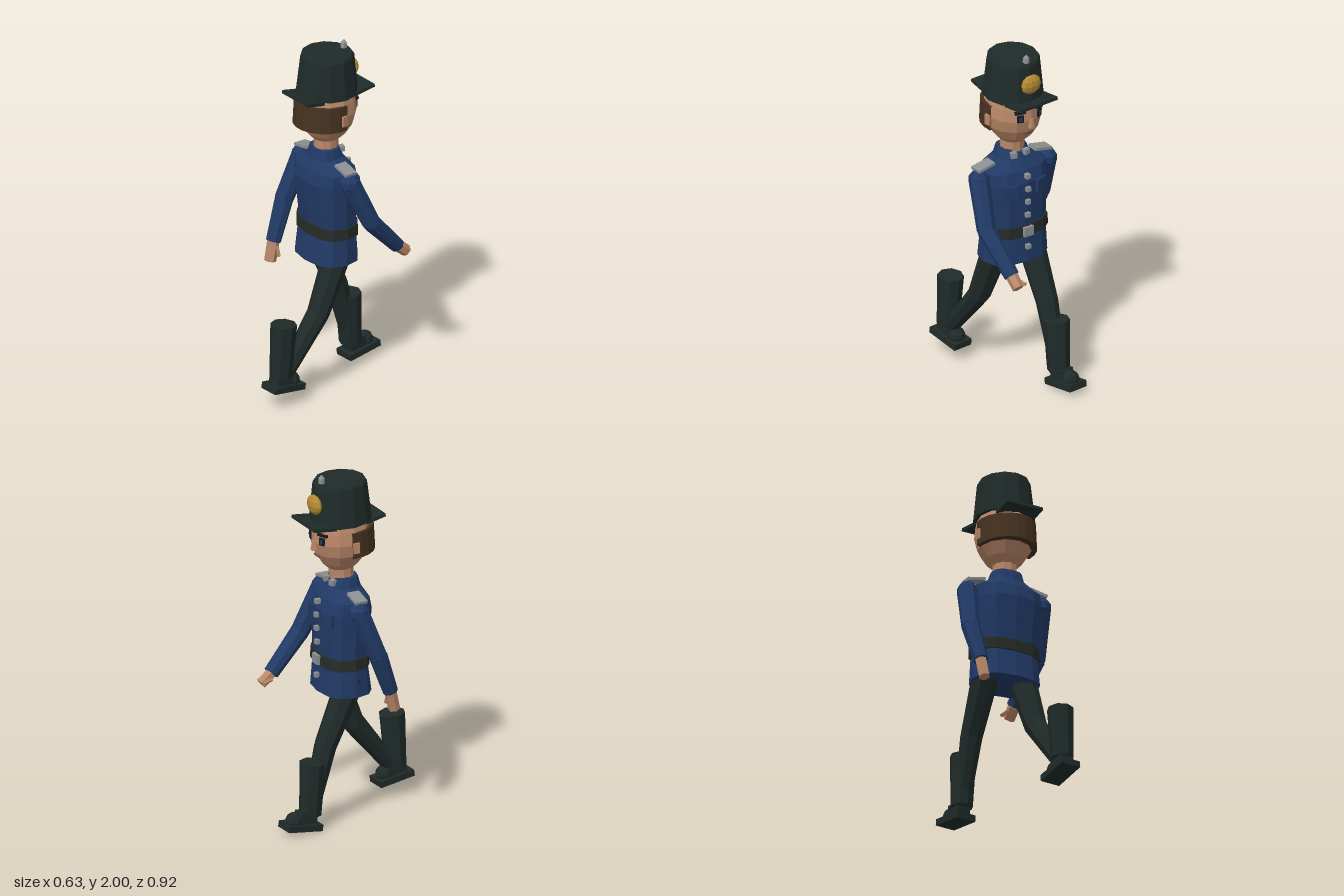
import * as THREE from 'three';

const paint = (name, color, side = THREE.FrontSide) =>
  new THREE.MeshStandardMaterial({ name, color, flatShading: true, side });

export function createModel() {
  const dark = paint('dark cloth', 0x1f2b29);
  const beltMat = paint('belt leather', 0x262c28);
  const navy = paint('navy cloth', 0x213a66);
  const skin = paint('skin', 0xb98768);
  const hairMat = paint('hair brown', 0x463220, THREE.DoubleSide);
  const silver = paint('silver', 0x8c9094);
  const gold = paint('gold', 0xb28a34);
  const black = paint('black', 0x17191c);
  const lip = paint('lip', 0x7a4a3c);

  const model = new THREE.Group();
  model.name = 'walkingOfficer';

  const add = (parent, name, geo, mat, pos = [0, 0, 0], rot = [0, 0, 0]) => {
    const m = new THREE.Mesh(geo, mat);
    m.name = name;
    m.position.set(...pos);
    m.rotation.set(...rot);
    parent.add(m);
    return m;
  };
  const group = (name, parent = model) => {
    const g = new THREE.Group();
    g.name = name;
    parent.add(g);
    return g;
  };
  const box = (w, h, d) => new THREE.BoxGeometry(w, h, d);
  // Tapered rod from point a to point b
  const limb = (parent, name, a, b, ra, rb, mat, sides = 8) => {
    const A = new THREE.Vector3(...a), B = new THREE.Vector3(...b);
    const dir = B.clone().sub(A);
    const m = add(parent, name, new THREE.CylinderGeometry(rb, ra, dir.length(), sides), mat);
    m.position.copy(A).add(B).multiplyScalar(0.5);
    m.quaternion.setFromUnitVectors(new THREE.Vector3(0, 1, 0), dir.normalize());
    return m;
  };
  // Closed loft of rounded sections [y, half width, half depth, centre z], top first
  const loft = (sections, sides, power) => {
    const rows = sections.length - 1;
    const geo = new THREE.CylinderGeometry(1, 1, 1, sides, rows);
    const p = geo.attributes.position;
    const soft = v => Math.sign(v) * Math.pow(Math.abs(v), power);
    for (let i = 0; i < p.count; i++) {
      const [y, hx, hz, cz] = sections[Math.round((0.5 - p.getY(i)) * rows)];
      p.setXYZ(i, soft(p.getX(i)) * hx, y, cz + soft(p.getZ(i)) * hz);
    }
    return geo;
  };

  // Jacket, turned slightly at the shoulders
  const torso = group('torso');
  torso.position.z = -0.03;
  torso.rotation.y = -0.08;
  add(torso, 'jacket', loft([
    [1.4, 0.085, 0.07, 0.01], [1.345, 0.1, 0.09, 0.005], [1.29, 0.2, 0.125, 0],
    [1.22, 0.2, 0.143, -0.002], [0.95, 0.185, 0.125, -0.012],
    [0.9, 0.187, 0.128, -0.01], [0.745, 0.195, 0.145, -0.005],
  ], 12, 0.8), navy);
  add(torso, 'belt', loft([
    [0.965, 0.196, 0.136, -0.011], [0.9, 0.198, 0.138, -0.011],
  ], 12, 0.8), beltMat);
  add(torso, 'buckle', box(0.06, 0.055, 0.02), silver, [0, 0.932, -0.153]);
  for (const [y, z] of [[1.265, -0.145], [1.188, -0.148], [1.11, -0.147], [1.03, -0.145], [0.838, -0.148]])
    add(torso, 'button', box(0.026, 0.026, 0.03), silver, [0, y, z]);
  for (const s of [-1, 1]) {
    add(torso, 'collarTab', box(0.035, 0.03, 0.04), silver, [s * 0.04, 1.375, -0.07], [0, s * -0.25, 0]);
    add(torso, 'pocket', box(0.075, 0.075, 0.025), navy, [s * 0.1, 1.185, -0.13], [0, s * -0.3, 0]);
    add(torso, 'epaulette', box(0.11, 0.016, 0.072), silver, [s * 0.19, 1.325, 0], [0, 0, s * -0.2]);
  }

  // Neck and head, looking towards -z
  limb(model, 'neck', [0, 1.36, -0.03], [0, 1.48, -0.035], 0.068, 0.068, skin, 10);
  const head = group('head');
  head.position.set(0, 1.42, -0.015);
  head.rotation.set(-0.036, -0.03, 0);
  add(head, 'skull', loft([
    [0.33, 0.14, 0.145, -0.012], [0.265, 0.155, 0.163, -0.012], [0.2, 0.163, 0.17, -0.012],
    [0.13, 0.148, 0.152, -0.014], [0.065, 0.105, 0.112, -0.017], [0.03, 0.07, 0.075, -0.018],
  ], 12, 1), skin);
  add(head, 'hair', new THREE.CylinderGeometry(0.16, 0.163, 0.145, 11, 1, false, -1.75, 3.5),
    hairMat, [0, 0.197, 0]).scale.set(1.03, 1, 1.07);
  for (const s of [-1, 1]) {
    add(head, 'ear', box(0.016, 0.06, 0.036), skin, [s * 0.166, 0.185, -0.01], [0, s * 0.2, 0]);
    add(head, 'eye', box(0.036, 0.042, 0.009), black, [s * 0.065, 0.222, -0.164], [0, s * -0.4, 0]);
    add(head, 'iris', box(0.016, 0.022, 0.009), navy, [s * 0.065, 0.222, -0.168], [0, s * -0.4, 0]);
    add(head, 'eyebrow', box(0.06, 0.014, 0.02), black, [s * 0.066, 0.26, -0.16], [0, s * -0.4, s * -0.08]);
  }
  add(head, 'nose', new THREE.CylinderGeometry(0.01, 0.02, 0.055, 5), skin, [0, 0.185, -0.18]);
  add(head, 'mouth', box(0.055, 0.01, 0.009), lip, [0, 0.122, -0.163], [-0.35, 0, 0]);

  // Tall hat
  const hat = group('hat', head);
  add(hat, 'crown', loft([
    [0.535, 0.137, 0.141, -0.008], [0.522, 0.144, 0.149, -0.008], [0.305, 0.167, 0.172, -0.012],
  ], 12, 1), dark);
  add(hat, 'frontBrim', box(0.257, 0.018, 0.14), dark, [0, 0.313, -0.172], [0.16, 0, 0]);
  add(hat, 'backBrim', box(0.225, 0.018, 0.12), dark, [0, 0.302, 0.148], [-0.18, 0, 0]);
  add(hat, 'badge', new THREE.SphereGeometry(1, 10, 6), gold, [0, 0.42, -0.167]).scale.set(0.065, 0.056, 0.034);
  add(hat, 'finialBase', new THREE.CylinderGeometry(0.018, 0.02, 0.035, 6), silver, [0, 0.545, -0.12]);
  add(hat, 'finialTip', new THREE.ConeGeometry(0.018, 0.022, 6), silver, [0, 0.573, -0.12]);

  // Arms: one swings forward, one back
  const arms = [
    { name: 'leftArm', s: [0.222, 1.255, -0.018], e: [0.265, 1.0, -0.13], w: [0.25, 0.795, -0.325],
      h: [0.255, 0.745, -0.385], t: [[0.228, 0.77, -0.335], [0.212, 0.76, -0.395]] },
    { name: 'rightArm', s: [-0.225, 1.255, -0.055], e: [-0.265, 1.0, 0.04], w: [-0.255, 0.77, 0.125],
      h: [-0.25, 0.66, 0.152], t: [[-0.23, 0.75, 0.125], [-0.212, 0.69, 0.12]] },
  ];
  for (const a of arms) {
    const g = group(a.name);
    add(g, 'shoulder', new THREE.SphereGeometry(0.06, 8, 5), navy, a.s);
    limb(g, 'upperSleeve', a.s, a.e, 0.058, 0.052, navy);
    add(g, 'elbow', new THREE.SphereGeometry(0.052, 8, 5), navy, a.e);
    limb(g, 'forearmSleeve', a.e, a.w, 0.052, 0.042, navy);
    limb(g, 'hand', a.w, a.h, 0.034, 0.033, skin, 6);
    limb(g, 'thumb', a.t[0], a.t[1], 0.013, 0.01, skin, 5);
  }

  // Legs in mid stride, with boots
  const legs = [
    { name: 'leftLeg', x: 0.108, hip: [0.84, -0.045], knee: [0.47, 0.11], ankle: [0.18, 0.34],
      top: [0.478, 0.353], base: [0.175, 0.374], foot: [0.108, 0.354], pitch: -0.145 },
    { name: 'rightLeg', x: -0.108, hip: [0.84, -0.03], knee: [0.47, -0.197], ankle: [0.11, -0.29],
      top: [0.39, -0.277], base: [0.09, -0.293], foot: [0.035, -0.352], pitch: 0.145 },
  ];
  for (const l of legs) {
    const g = group(l.name);
    const at = k => [l.x, ...l[k]];
    limb(g, 'thigh', at('hip'), at('knee'), 0.08, 0.062, dark);
    add(g, 'kneeJoint', new THREE.SphereGeometry(0.062, 8, 5), dark, at('knee'));
    limb(g, 'shin', at('knee'), at('ankle'), 0.062, 0.045, dark);
    limb(g, 'bootShaft', at('base'), at('top'), 0.062, 0.073, dark);
    const boot = group('boot', g);
    boot.position.set(...at('foot'));
    boot.rotation.x = l.pitch;
    add(boot, 'sole', box(0.118, 0.036, 0.213), dark);
    add(boot, 'heelUpper', box(0.08, 0.07, 0.1), dark, [0, 0.045, 0.025]);
    add(boot, 'toeCap', new THREE.SphereGeometry(1, 8, 6), dark, [0, 0.03, -0.045]).scale.set(0.05, 0.05, 0.052);
  }
  return model;
}
